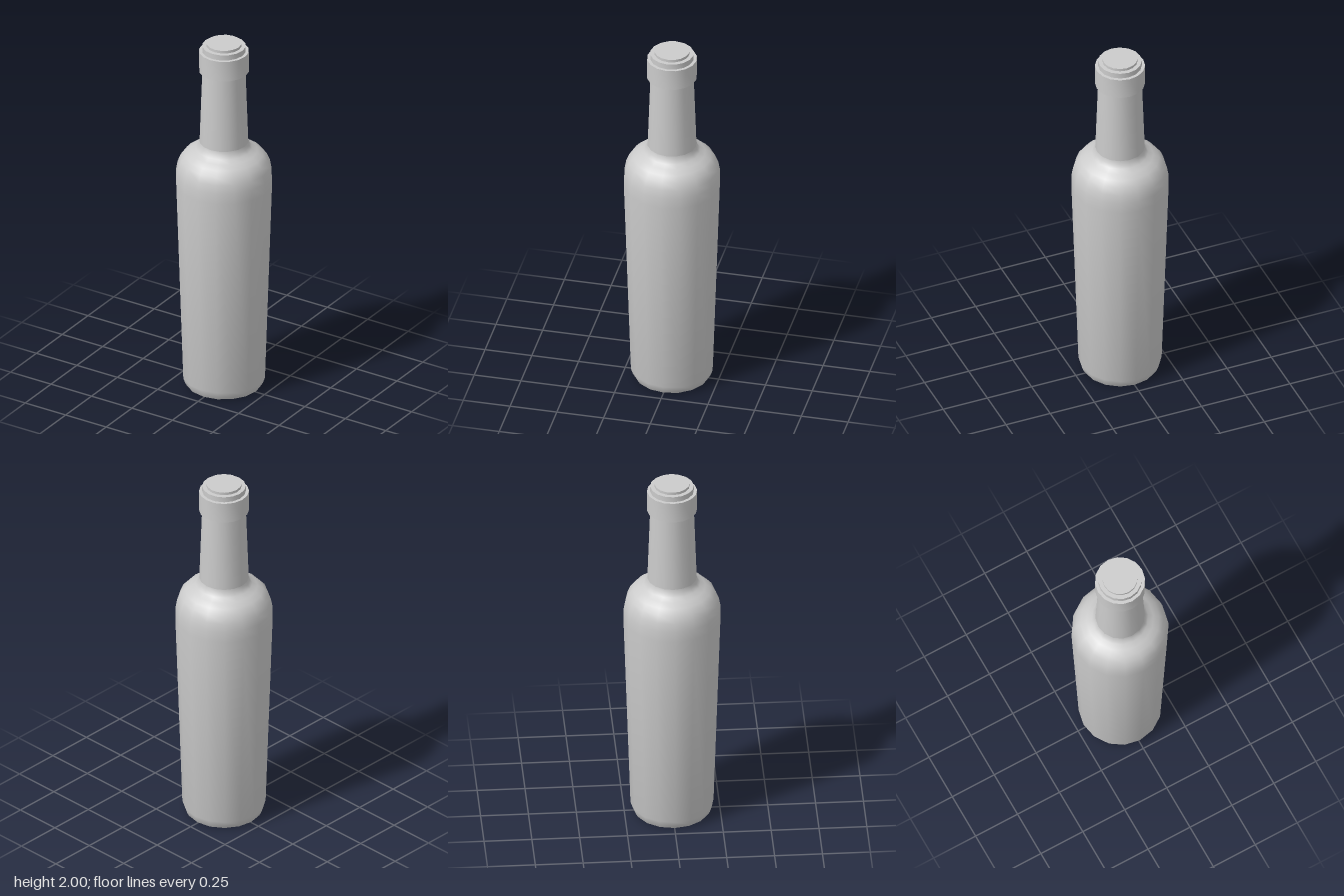
import * as THREE from 'three';
import { toCreasedNormals } from 'three/addons/utils/BufferGeometryUtils.js';

const SIDES = 16;

export function createModel() {
  const group = new THREE.Group();
  group.name = 'bottle';
  const material = new THREE.MeshStandardMaterial({ color: 0xcccccc });

  // Revolve a profile of [radius, height] points, keeping sharp edges sharp
  function turned(name, profile) {
    const points = profile.map(([r, y]) => new THREE.Vector2(r, y));
    const geometry = toCreasedNormals(new THREE.LatheGeometry(points, SIDES), 0.8);
    const mesh = new THREE.Mesh(geometry, material);
    mesh.name = name;
    group.add(mesh);
  }

  // Hollowed base, tapered body and rounded shoulder
  turned('body', [
    [0, 0.05], [0.10, 0.046], [0.13, 0.036], [0.15, 0.014], [0.168, 0.002], [0.182, 0],
    [0.198, 0.004], [0.207, 0.02], [0.217, 0.05],
    [0.254, 1.18], [0.253, 1.24], [0.245, 1.285], [0.229, 1.325], [0.205, 1.352],
    [0.175, 1.372], [0.148, 1.388], [0.134, 1.405], [0.129, 1.425],
  ]);

  // Slightly tapered neck
  turned('neck', [[0.129, 1.40], [0.129, 1.425], [0.114, 1.85]]);

  // Thick collar, with the narrower lip standing above it
  turned('collar', [[0.11, 1.84], [0.131, 1.84], [0.131, 1.955], [0.11, 1.955]]);
  turned('lip', [[0.114, 1.95], [0.114, 1.985], [0.09, 1.985]]);

  // Stopper in the mouth
  turned('cork', [[0.092, 1.97], [0.092, 2], [0, 2]]);

  return group;
}
